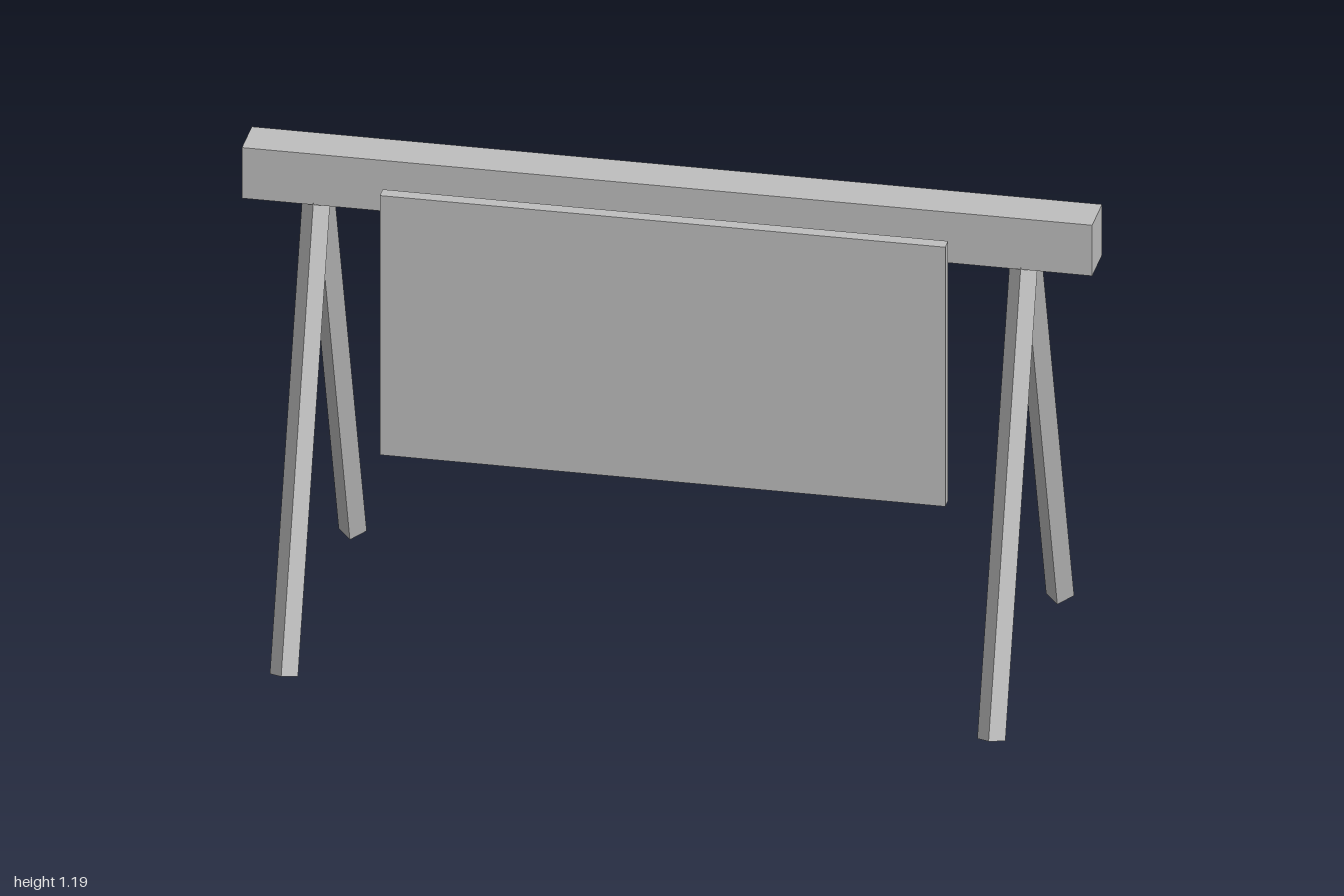
import * as THREE from 'three';

export function createModel() {
  const group = new THREE.Group();
  const grey = new THREE.MeshStandardMaterial({ color: 0xbfbfbf, flatShading: true });
  grey.name = 'plain grey';

  const add = (name, geometry, x, y, z) => {
    const mesh = new THREE.Mesh(geometry, grey);
    mesh.name = name;
    mesh.position.set(x, y, z);
    group.add(mesh);
    return mesh;
  };

  // Horizontal beam and the board hanging in front of it
  add('beam', new THREE.BoxGeometry(2, 0.13, 0.112), 0, 1.125, 0);
  add('board', new THREE.BoxGeometry(1.33, 0.665, 0.033), 0, 0.792, 0.09);

  // Splayed four-sided legs, tops buried in the beam
  const foot = new THREE.Vector2(0.389, 0.0135); // z, y
  const top = new THREE.Vector2(0.009, 1.1);
  const mid = foot.clone().add(top).multiplyScalar(0.5);
  const legGeometry = new THREE.CylinderGeometry(0.033, 0.033, foot.distanceTo(top), 4);
  const lean = Math.atan2(foot.x - top.x, top.y - foot.y);
  for (const side of [1, -1]) {
    for (const end of [1, -1]) {
      const name = (end > 0 ? 'front' : 'back') + (side > 0 ? 'Left' : 'Right') + 'Leg';
      add(name, legGeometry, side * 0.832, mid.y, end * mid.x).rotation.x = -end * lean;
    }
  }
  return group;
}
